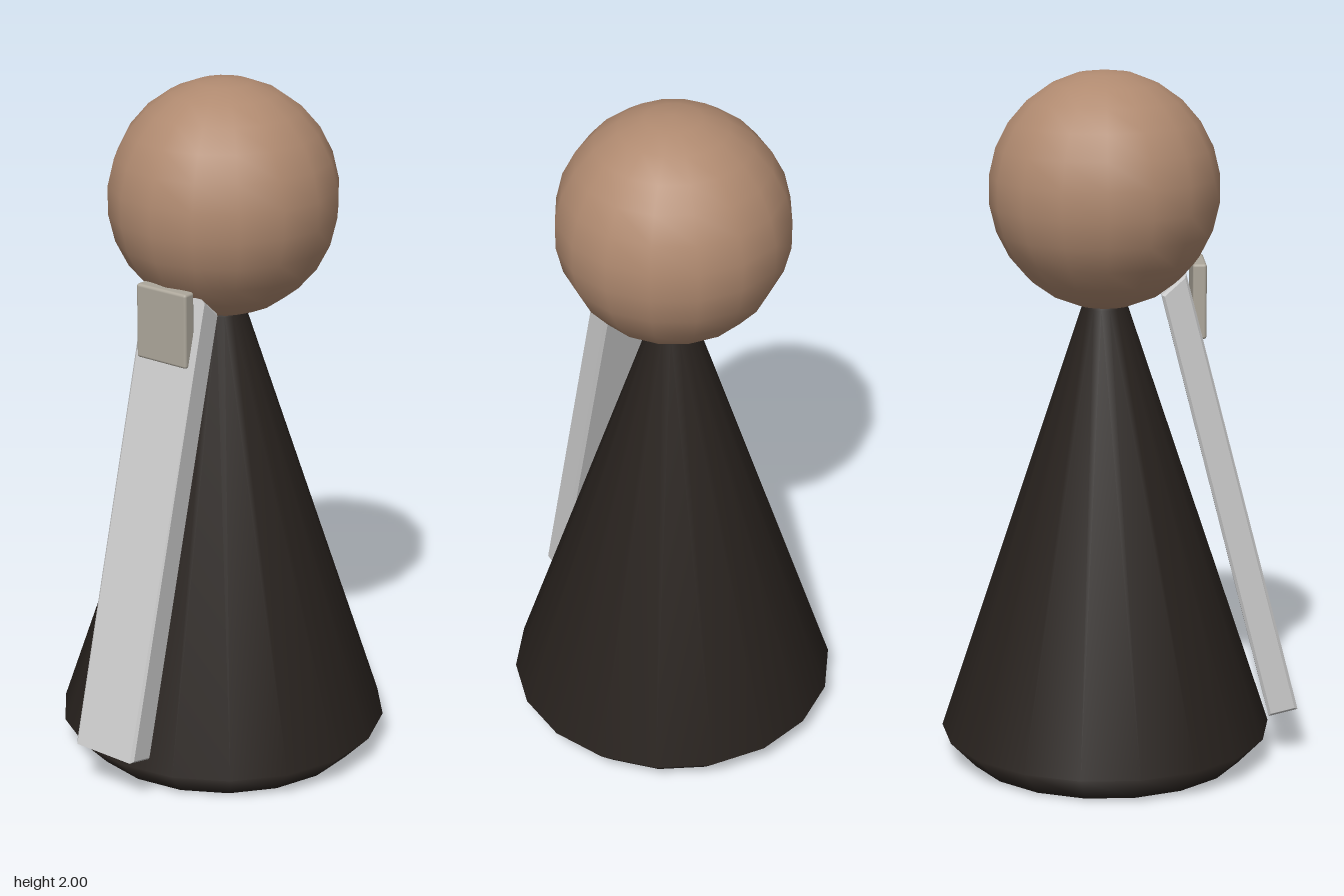
import * as THREE from 'three';
import { RoundedBoxGeometry } from 'three/addons/geometries/RoundedBoxGeometry.js';

const AXIS_Z = -0.04; // centre line of body and head

function addPart(group, name, geometry, color) {
  const mesh = new THREE.Mesh(geometry, new THREE.MeshStandardMaterial({ color }));
  mesh.name = name;
  group.add(mesh);
  return mesh;
}

// Side outline given as [z, y] pairs, extruded across x with a small bevel
function sidePanel(outline, width, bevel) {
  const shape = new THREE.Shape(outline.map(([z, y]) => new THREE.Vector2(z, y)));
  const depth = width - 2 * bevel;
  const geometry = new THREE.ExtrudeGeometry(shape, {
    depth, bevelEnabled: true, bevelThickness: bevel, bevelSize: bevel,
    bevelOffset: -bevel, bevelSegments: 1,
  });
  return geometry.translate(0, 0, -depth / 2).rotateY(-Math.PI / 2);
}

export function createModel() {
  const group = new THREE.Group();
  group.name = 'pegFigure';

  // Conical robe with a chamfered foot, closed underneath
  const profile = [[0, 0], [0.405, 0], [0.48, 0.08], [0.066, 1.33], [0.045, 1.395], [0, 1.395]]
    .map(([r, y]) => new THREE.Vector2(r, y));
  addPart(group, 'robe', new THREE.LatheGeometry(profile, 18), 0x28221e)
    .position.z = AXIS_Z;

  // Round head
  const head = addPart(group, 'head', new THREE.SphereGeometry(0.327, 16, 13), 0xb08a70);
  head.scale.y = 0.336 / 0.327;
  head.position.set(0, 1.664, AXIS_Z);

  // Long leaning panel down the front
  const panel = [[0.434, 0.127], [0.518, 0.148], [0.185, 1.44], [0.116, 1.38]];
  addPart(group, 'frontPanel', sidePanel(panel, 0.21, 0.008), 0xcccccc);

  // Small plate at the top of the panel
  addPart(group, 'collarPlate', new RoundedBoxGeometry(0.174, 0.215, 0.04, 2, 0.008), 0xada79b)
    .position.set(0, 1.357, 0.224);

  return group;
}
